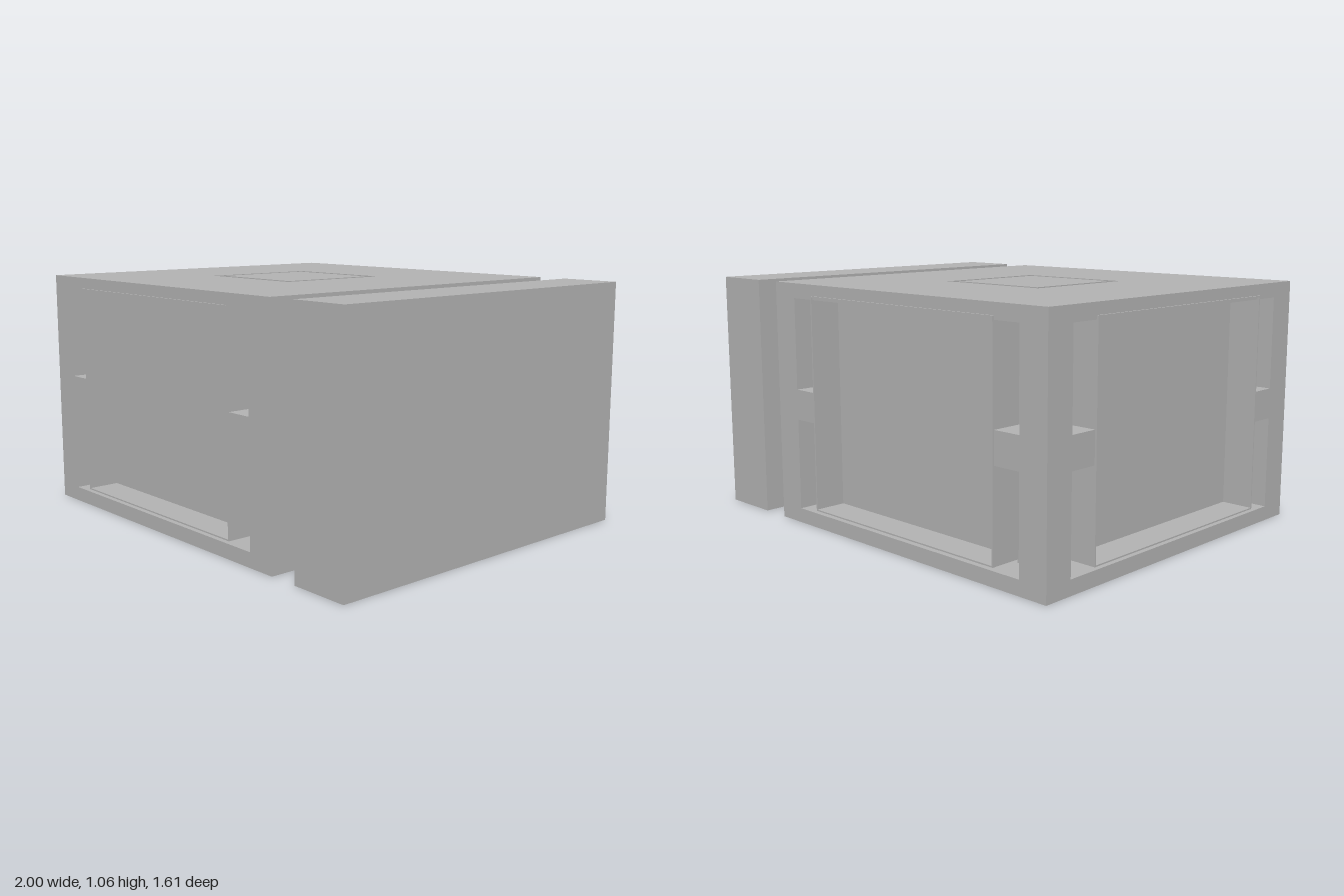
import * as THREE from 'three';

const grey = new THREE.MeshStandardMaterial({ color: 0xb3b3b3 });
grey.name = 'plain grey';

const H = 0.795;      // half width of the square body
const IN = 0.663;     // half width of the window openings
const TAB = 0.531;    // half width between the tabs
const TOP = 1.06;
const Y0 = 0.066, Y1 = 0.998;    // window bottom and top
const T0 = 0.465, T1 = 0.598;    // tab bottom and top

// box given by its two opposite corners
function box(parent, name, x0, x1, y0, y1, z0, z1) {
  const mesh = new THREE.Mesh(new THREE.BoxGeometry(x1 - x0, y1 - y0, z1 - z0), grey);
  mesh.position.set((x0 + x1) / 2, (y0 + y1) / 2, (z0 + z1) / 2);
  mesh.name = name;
  parent.add(mesh);
}

function square(PathType, h) {
  const p = new PathType();
  p.moveTo(-h, -h);
  p.lineTo(h, -h);
  p.lineTo(h, h);
  p.lineTo(-h, h);
  p.closePath();
  return p;
}

// square slab with a groove around a central plug; outer side faces up
function slab(name) {
  const g = new THREE.Group();
  g.name = name;
  const shape = square(THREE.Shape, H);
  shape.holes.push(square(THREE.Path, 0.267));
  const geo = new THREE.ExtrudeGeometry(shape, { depth: 0.052, bevelEnabled: false });
  geo.rotateX(-Math.PI / 2);
  const plate = new THREE.Mesh(geo, grey);
  plate.name = 'groovedPlate';
  plate.position.y = -0.052;
  g.add(plate);
  box(g, 'slabBacking', -H, H, -0.064, -0.052, -H, H);
  box(g, 'centrePlug', -0.231, 0.231, -0.052, 0, -0.231, 0.231);
  return g;
}

// shallow open tray set into the +z opening
function tray() {
  const g = new THREE.Group();
  g.name = 'windowTray';
  const w = 0.537, t = 0.006, b = 0.08, top = 1.012, front = 0.803;
  box(g, 'trayBack', -w, w, b, top, IN - t, IN);
  box(g, 'trayBottom', -w, w, b, b + t, IN, front);
  box(g, 'trayTop', -w, w, top - t, top, IN, front);
  for (const s of [-1, 1]) {
    const x = s * (w - t / 2);
    box(g, 'traySide', x - t / 2, x + t / 2, b, top, IN, front);
  }
  return g;
}

export function createModel() {
  const model = new THREE.Group();
  model.name = 'blockWithPulledOutSide';

  const body = new THREE.Group();
  body.name = 'body';
  body.position.x = -0.195;
  model.add(body);

  const top = slab('topSlab');
  top.position.y = TOP;
  const bottom = slab('bottomSlab');
  bottom.rotation.x = Math.PI;
  body.add(top, bottom);

  // four corners: outer post, inner post and the tabs on both adjoining sides
  for (let i = 0; i < 4; i++) {
    const corner = new THREE.Group();
    corner.name = 'corner';
    corner.rotation.y = i * Math.PI / 2;
    box(corner, 'outerPost', IN, H, 0.06, 1, IN, H);
    box(corner, 'innerPost', TAB, IN, 0.06, 1, TAB, IN);
    box(corner, 'frontTab', TAB, IN, T0, T1, IN, H);
    box(corner, 'sideTab', IN, H, T0, T1, TAB, IN);
    body.add(corner);
  }

  // trays on the front, back and -x sides
  for (const a of [0, Math.PI, -Math.PI / 2]) {
    const t = tray();
    t.rotation.y = a;
    body.add(t);
  }

  // pulled-out side plate with its two plugs
  const side = new THREE.Group();
  side.name = 'sidePiece';
  box(side, 'sidePlate', 0.733, 1, 0, TOP, -H, H);
  box(side, 'lowerPlug', 0.47, 0.733, Y0, T0, -IN, IN);
  box(side, 'upperPlug', 0.47, 0.733, T1, Y1, -IN, IN);
  model.add(side);

  return model;
}
